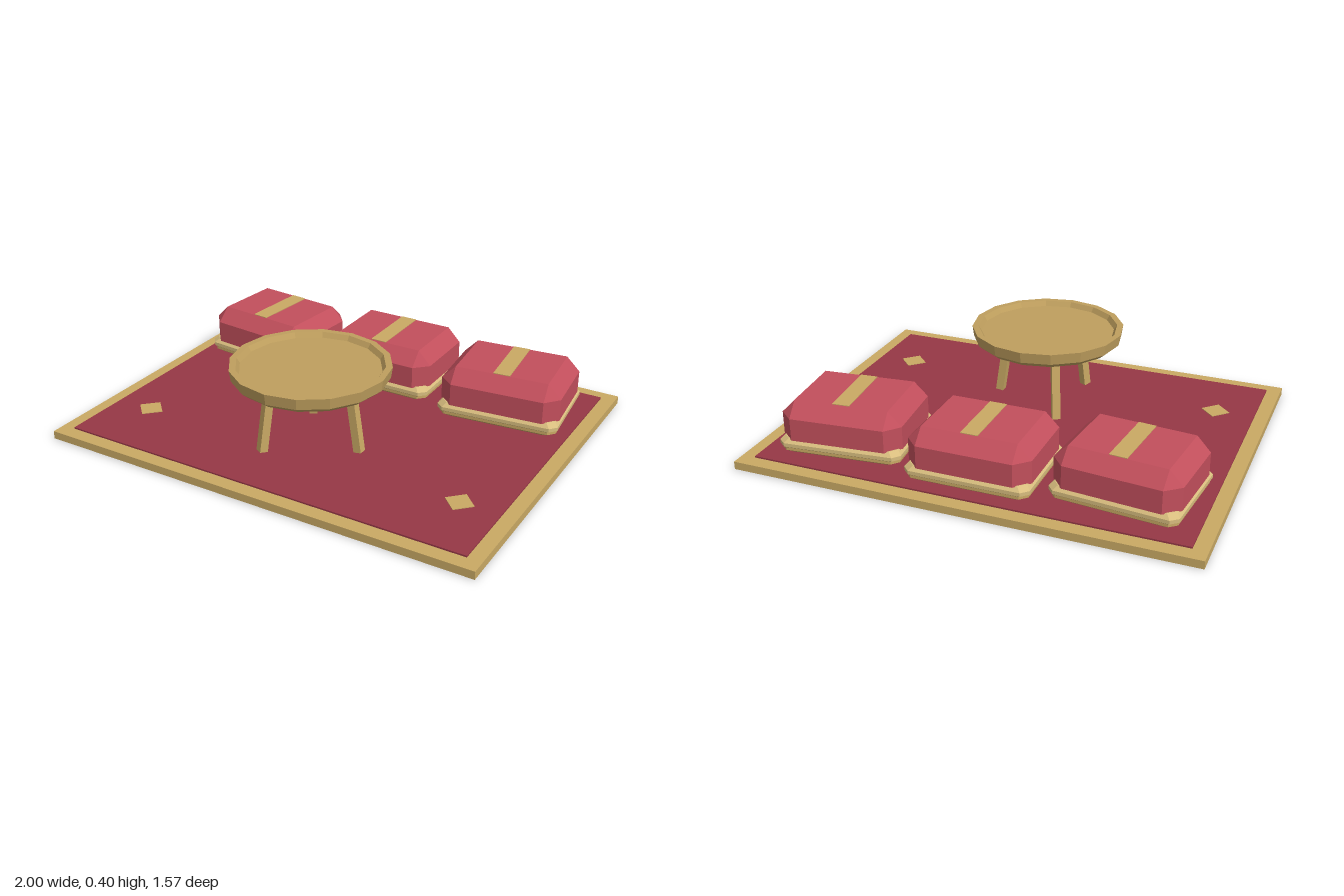
import * as THREE from 'three';

const mat = (color) => new THREE.MeshStandardMaterial({ color, flatShading: true });
const gold = mat(0xc9a964), piping = mat(0xd8bd7e), wood = mat(0xbf9f5e);
const rugRed = mat(0x963846), cushionRed = mat(0xc24f5c);

function add(parent, name, geometry, material, x = 0, y = 0, z = 0) {
  const mesh = new THREE.Mesh(geometry, material);
  mesh.name = name;
  mesh.position.set(x, y, z);
  parent.add(mesh);
  return mesh;
}

// Corner-cut rectangles [halfX, halfZ, cornerCut, y], stacked upward and capped
function loftBlock(rings) {
  const pos = [], index = [];
  for (const [w, d, c, y] of rings) {
    const outline = [[w, d - c], [w - c, d], [c - w, d], [-w, d - c],
      [-w, c - d], [c - w, -d], [w - c, -d], [w, c - d]];
    for (const [x, z] of outline) pos.push(x, y, z);
  }
  for (let r = 0; r < rings.length - 1; r++) {
    for (let i = 0; i < 8; i++) {
      const a = r * 8 + i, b = r * 8 + (i + 1) % 8;
      index.push(a, a + 8, b, b, a + 8, b + 8);
    }
  }
  const top = (rings.length - 1) * 8;
  for (let i = 1; i < 7; i++) {
    index.push(0, i, i + 1);
    index.push(top, top + i + 1, top + i);
  }
  const geo = new THREE.BufferGeometry();
  geo.setAttribute('position', new THREE.Float32BufferAttribute(pos, 3));
  geo.setIndex(index);
  const flat = geo.toNonIndexed();
  flat.computeVertexNormals();
  return flat;
}

function makeCushion() {
  const g = new THREE.Group();
  add(g, 'cushionBase', loftBlock([
    [0.24, 0.187, 0.03, 0.042], [0.265, 0.212, 0.03, 0.06], [0.265, 0.212, 0.03, 0.075],
  ]), gold);
  add(g, 'cushionPiping', loftBlock([
    [0.262, 0.209, 0.03, 0.07], [0.272, 0.219, 0.03, 0.078],
    [0.272, 0.219, 0.03, 0.094], [0.255, 0.202, 0.03, 0.113],
  ]), piping);
  add(g, 'cushionPad', loftBlock([
    [0.268, 0.213, 0.06, 0.108], [0.268, 0.213, 0.06, 0.208], [0.208, 0.152, 0, 0.27],
  ]), cushionRed);
  add(g, 'cushionStripe', new THREE.BoxGeometry(0.075, 0.006, 0.302), gold, 0, 0.27, 0);
  return g;
}

function makeTable() {
  const g = new THREE.Group();
  g.name = 'table';
  // Tray top with a raised rim
  const profile = [[0, 0.331], [0.31, 0.331], [0.335, 0.352], [0.342, 0.4],
    [0.314, 0.4], [0.3, 0.378], [0, 0.378]].map(([r, y]) => new THREE.Vector2(r, y));
  add(g, 'tableTop', new THREE.LatheGeometry(profile, 16), wood);
  // Three splayed legs
  for (let i = 0; i < 3; i++) {
    const pivot = new THREE.Group();
    pivot.name = 'tableLeg';
    pivot.rotation.y = (i * Math.PI * 2) / 3;
    const leg = add(pivot, 'leg', new THREE.BoxGeometry(0.036, 0.3, 0.036), gold, 0.212, 0.194, 0);
    leg.rotation.z = 0.15;
    g.add(pivot);
  }
  return g;
}

export function createModel() {
  const model = new THREE.Group();
  model.name = 'loungeSet';

  // Rug with a border and two diamond motifs
  add(model, 'rugBorder', new THREE.BoxGeometry(2, 0.035, 1.566), gold, 0, 0.0175, 0);
  add(model, 'rugField', new THREE.BoxGeometry(1.876, 0.012, 1.44), rugRed, 0, 0.036, 0);
  for (const side of [-1, 1]) {
    const diamond = add(model, 'rugDiamond', new THREE.BoxGeometry(0.09, 0.006, 0.09), gold,
      side * 0.763, 0.042, 0.412);
    diamond.rotation.y = Math.PI / 4;
  }

  // Arc of three floor cushions
  for (const side of [-1, 0, 1]) {
    const cushion = makeCushion();
    cushion.name = ['rightCushion', 'middleCushion', 'leftCushion'][side + 1];
    cushion.position.set(side * 0.613, 0, side ? -0.417 : -0.459);
    cushion.rotation.y = side * 0.1;
    model.add(cushion);
  }

  const table = makeTable();
  table.position.z = 0.273;
  model.add(table);
  return model;
}
